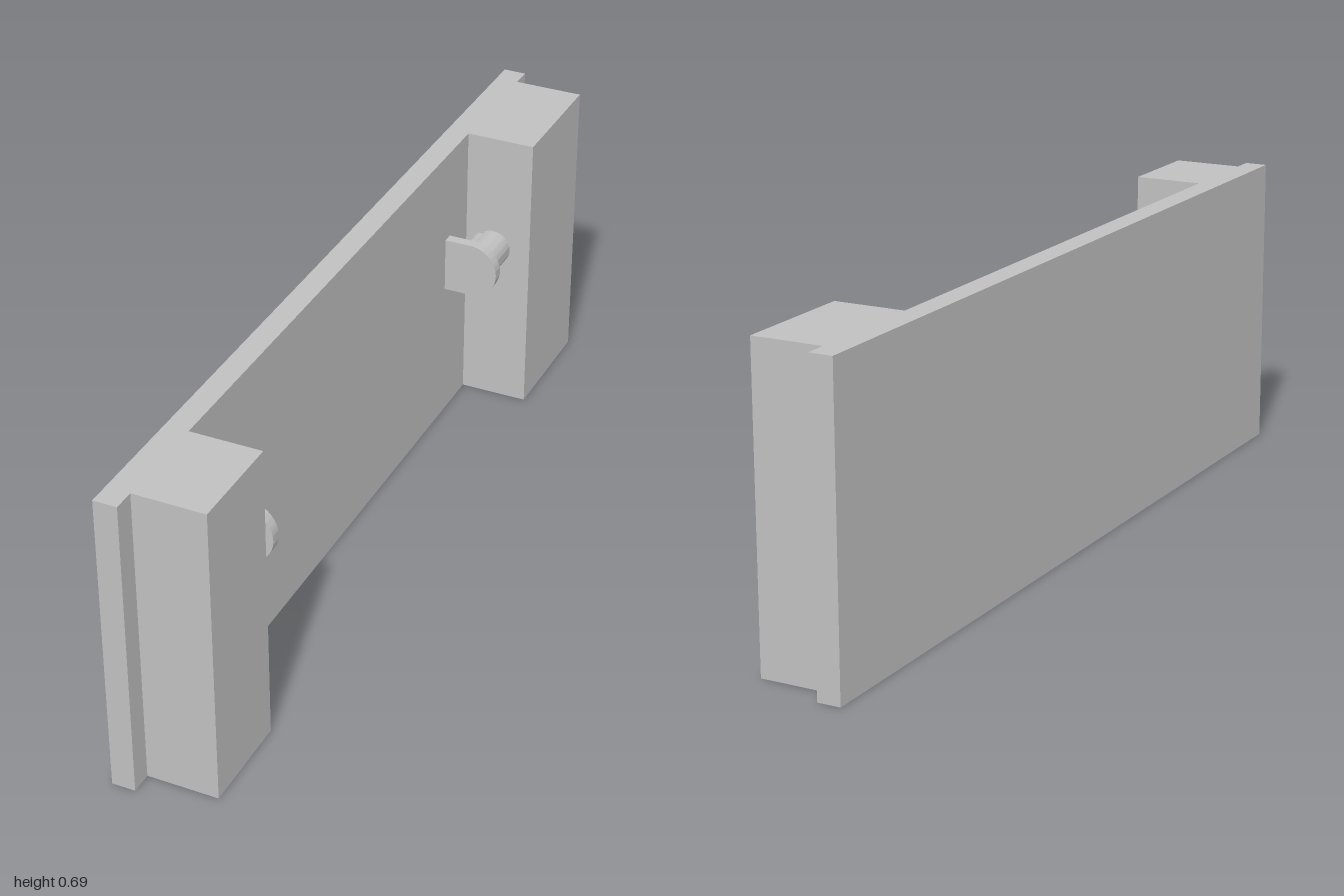
import * as THREE from 'three';
import { toCreasedNormals } from 'three/addons/utils/BufferGeometryUtils.js';

const HEIGHT = 0.695;
const BACK = -0.108, FACE = -0.055, BLOCK = 0.107; // x of panel back, panel face, block face
const PEG_Y = 0.408;

const grey = new THREE.MeshStandardMaterial({ color: 0xc0c0c0 });
grey.name = 'grey';

function extrude(shape, depth) {
  const geo = new THREE.ExtrudeGeometry(shape, { depth, bevelEnabled: false, curveSegments: 32 });
  return toCreasedNormals(geo, 0.5);
}

function part(name, geometry) {
  const mesh = new THREE.Mesh(geometry, grey);
  mesh.name = name;
  return mesh;
}

// Plan outline of the panel with its two end blocks, drawn as (x, -z)
function bodyShape() {
  return new THREE.Shape([
    [BACK, -1], [FACE, -1], [FACE, -0.95], [BLOCK, -0.95], [BLOCK, -0.72], [FACE, -0.72],
    [FACE, 0.653], [BLOCK, 0.653], [BLOCK, 0.95], [FACE, 0.95], [FACE, 1], [BACK, 1],
  ].map(([x, y]) => new THREE.Vector2(x, y)));
}

// Round stem with a narrower rounded key towards the panel
function stemShape() {
  const r = 0.043, cx = 0.014, a = Math.acos(-0.022 / r);
  const s = new THREE.Shape();
  s.absarc(cx, 0, r, -a, a, false);
  s.lineTo(-0.008, 0.03);
  s.lineTo(-0.024, 0.03);
  s.quadraticCurveTo(-0.037, 0.024, -0.037, 0);
  s.quadraticCurveTo(-0.037, -0.024, -0.024, -0.03);
  s.lineTo(-0.008, -0.03);
  s.closePath();
  return s;
}

// D-shaped head, square where it meets the panel
function headShape() {
  const r = 0.066;
  const s = new THREE.Shape();
  s.moveTo(FACE, -r);
  s.lineTo(0.008, -r);
  s.absarc(0.008, 0, r, -Math.PI / 2, Math.PI / 2, false);
  s.lineTo(FACE, r);
  s.closePath();
  return s;
}

// Peg standing on a block's inner face, between zMin and zMax
function peg(name, zMin, zMax, headAtMin) {
  const group = new THREE.Group();
  group.name = name;
  const thick = 0.025;
  const stem = part('stem', extrude(stemShape(), zMax - zMin - thick));
  const head = part('head', extrude(headShape(), thick));
  stem.position.set(0, PEG_Y, headAtMin ? zMin + thick : zMin);
  head.position.set(0, PEG_Y, headAtMin ? zMin : zMax - thick);
  group.add(stem, head);
  return group;
}

export function createModel() {
  const model = new THREE.Group();
  model.name = 'panelWithPegs';
  const body = part('panelAndBlocks', extrude(bodyShape(), HEIGHT));
  body.rotation.x = -Math.PI / 2;
  model.add(
    body,
    peg('frontPeg', 0.6, 0.72, true),
    peg('backPeg', -0.653, -0.528, false),
  );
  return model;
}
